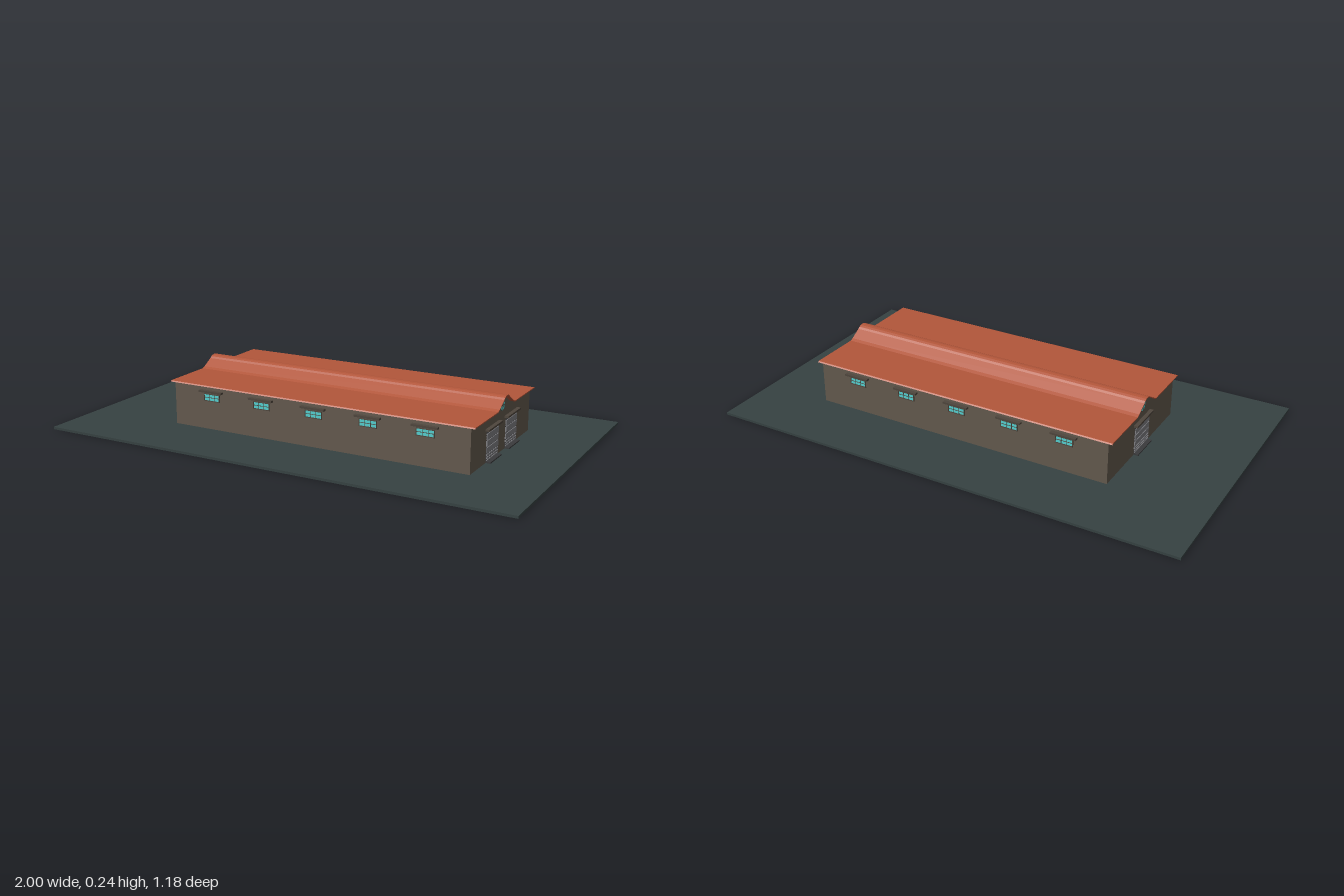
import * as THREE from 'three';

const mat = (color, extra = {}) => new THREE.MeshStandardMaterial({ color, ...extra });
const M = {
  ground: mat(0x364242), wall: mat(0x645a4e), roof: mat(0xb2563a),
  trim: mat(0x4f463d), shutter: mat(0x808084), gap: mat(0x3a3a3c),
  glass: mat(0x55d0d0), frame: mat(0x4f463d),
};

const X0 = -0.59, X1 = 0.71, HALF_Z = 0.304, BASE = 0.01;

function box(parent, name, size, pos, material) {
  const m = new THREE.Mesh(new THREE.BoxGeometry(...size), material);
  m.name = name;
  m.position.set(...pos);
  parent.add(m);
  return m;
}

// Extrudes a cross-section (z, y) along x from x0 to x1
function extrudeX(parent, name, pts, x0, x1, material) {
  const shape = new THREE.Shape(pts.map(p => new THREE.Vector2(...p)));
  const geo = new THREE.ExtrudeGeometry(shape, { depth: x1 - x0, bevelEnabled: false });
  geo.rotateY(Math.PI / 2);
  geo.translate(x0, 0, 0);
  const m = new THREE.Mesh(geo, material);
  m.name = name;
  parent.add(m);
}

// Mirrors a half profile, running from the eave to the ridge
const mirror = half => [...half, ...half.slice(0, -1).reverse().map(([z, y]) => [-z, y])];

// Wide window facing +z, with its origin on the wall surface
function makeWindow() {
  const g = new THREE.Group();
  g.name = 'window';
  const w = 0.072, h = 0.028;
  box(g, 'windowGlass', [w, h, 0.003], [0, 0, 0.0005], M.glass);
  for (const s of [-1, 1]) {
    box(g, 'windowJamb', [0.003, h, 0.006], [s * w / 2, 0, 0.001], M.frame);
    box(g, 'windowRail', [w + 0.003, 0.003, 0.006], [0, s * h / 2, 0.001], M.frame);
    box(g, 'windowMullion', [0.002, h, 0.005], [s * w / 6, 0, 0.001], M.frame);
  }
  box(g, 'windowCrossbar', [w, 0.002, 0.005], [0, 0, 0.001], M.frame);
  box(g, 'windowHood', [0.107, 0.008, 0.018], [0, 0.026, 0.007], M.trim);
  return g;
}

// Roller door facing +z, with its origin at ground level on the wall surface
function makeDoor(w) {
  const g = new THREE.Group();
  g.name = 'rollerDoor';
  const h = 0.118;
  box(g, 'doorBacking', [w, h, 0.004], [0, h / 2, 0], M.gap);
  const edges = [0.008, 0.016, 0.026, 0.038, 0.064, 0.091, h];
  for (let i = 0; i < edges.length - 1; i++) {
    const a = edges[i], b = edges[i + 1] - 0.004;
    box(g, 'doorSlat', [w, b - a, 0.006], [0, (a + b) / 2, 0.002], M.shutter);
  }
  box(g, 'doorSill', [w, 0.005, 0.03], [0, 0.0025, 0.005], M.gap);
  box(g, 'doorHood', [w + 0.022, 0.008, 0.018], [0, 0.13, 0.007], M.trim);
  return g;
}

// Round gable window facing +z
function makeRoundWindow() {
  const g = new THREE.Group();
  g.name = 'roundWindow';
  const pane = new THREE.Mesh(new THREE.CylinderGeometry(0.02, 0.02, 0.004, 24), M.glass);
  pane.name = 'roundGlass';
  pane.rotation.x = Math.PI / 2;
  const rim = new THREE.Mesh(new THREE.TorusGeometry(0.0205, 0.002, 6, 24), M.frame);
  rim.name = 'roundRim';
  g.add(pane, rim);
  box(g, 'roundCrossbar', [0.04, 0.003, 0.006], [0, 0, 0], M.frame);
  box(g, 'roundMullion', [0.003, 0.04, 0.006], [0, 0, 0], M.frame);
  return g;
}

export function createModel() {
  const root = new THREE.Group();
  root.name = 'warehouse';

  box(root, 'groundSlab', [2, BASE, 1.18], [0, BASE / 2, 0], M.ground);

  // Shared roof curve: low side roofs, flared raised ridge with rounded crown
  const ridge = [[0.088, 0.192], [0.074, 0.198], [0.03, 0.224], [0.022, 0.2305],
    [0.012, 0.235], [0, 0.2365]];
  const lower = ridge.map(([z, y]) => [z, y - 0.004]);

  // Walls, with gable ends following the roof
  extrudeX(root, 'walls', mirror([[HALF_Z, BASE], [HALF_Z, 0.188], ...lower]), X0, X1, M.wall);

  // Roof skin with a small turned-down eave
  const top = mirror([[0.312, 0.187], [0.308, 0.1915], [0.303, 0.192], ...ridge]);
  const under = mirror([[0.309, 0.186], [0.306, 0.1885], [0.302, 0.188], ...lower]);
  extrudeX(root, 'roof', [...top, ...under.reverse()], X0 - 0.018, X1 + 0.018, M.roof);

  // Five windows along each long side
  for (let i = 0; i < 5; i++) {
    for (const s of [1, -1]) {
      const win = makeWindow();
      win.position.set(-0.41 + i * 0.2355, 0.143, s * HALF_Z);
      win.rotation.y = s > 0 ? 0 : Math.PI;
      root.add(win);
    }
  }

  // Ends: two doors on one, a single central door on the other
  const place = (part, s, y, z) => {
    part.position.set(s > 0 ? X1 : X0, y, z);
    part.rotation.y = s * Math.PI / 2;
    root.add(part);
  };
  for (const z of [-0.097, 0.097]) place(makeDoor(0.114), 1, BASE, z);
  place(makeDoor(0.13), -1, BASE, 0);
  for (const s of [1, -1]) place(makeRoundWindow(), s, 0.194, 0);

  return root;
}
